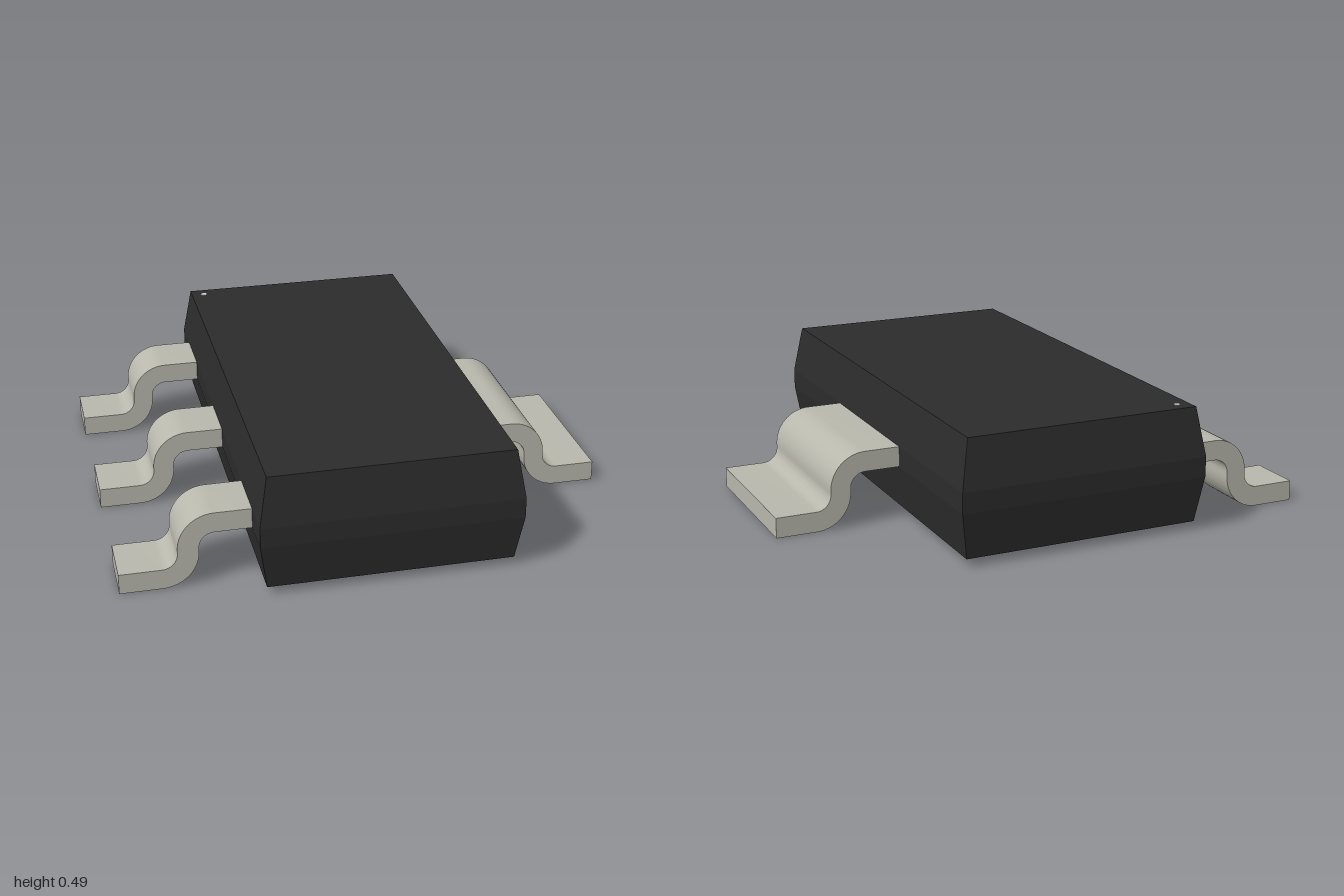
import * as THREE from 'three';
import { toCreasedNormals } from 'three/addons/utils/BufferGeometryUtils.js';

const plastic = new THREE.MeshStandardMaterial({ name: 'black plastic', color: 0x2c2c2c });
const metal = new THREE.MeshStandardMaterial({ name: 'tinned metal', color: 0xb9b8ad });
const paint = new THREE.MeshStandardMaterial({ name: 'marker paint', color: 0xd8d8d4 });

// Rectangular cross-sections [y, half width, half depth] joined into a closed solid
function loftBox(sections) {
  const points = [];
  const index = [];
  for (const [y, w, d] of sections) points.push(-w, y, d, w, y, d, w, y, -d, -w, y, -d);
  for (let s = 0; s < sections.length - 1; s++) {
    for (let i = 0; i < 4; i++) {
      const a = s * 4 + i, b = s * 4 + (i + 1) % 4;
      index.push(a, b, b + 4, a, b + 4, a + 4);
    }
  }
  const t = (sections.length - 1) * 4;
  index.push(0, 2, 1, 0, 3, 2, t, t + 1, t + 2, t, t + 2, t + 3);
  const indexed = new THREE.BufferGeometry();
  indexed.setAttribute('position', new THREE.Float32BufferAttribute(points, 3));
  indexed.setIndex(index);
  const geometry = indexed.toNonIndexed();
  geometry.computeVertexNormals();
  return geometry;
}

// Gull-wing lead: S-bent strip seen from the side, extruded to its width
function leadGeometry(width) {
  const inner = 0.06, outer = 0.14;
  const s = new THREE.Shape();
  s.moveTo(0.45, 0.215);
  s.lineTo(0.64, 0.215);
  s.absarc(0.64, 0.155, inner, Math.PI / 2, 0, true);
  s.lineTo(0.70, 0.14);
  s.absarc(0.84, 0.14, outer, Math.PI, Math.PI * 1.5, false);
  s.lineTo(1, 0);
  s.lineTo(1, 0.08);
  s.lineTo(0.84, 0.08);
  s.absarc(0.84, 0.14, inner, Math.PI * 1.5, Math.PI, true);
  s.lineTo(0.78, 0.155);
  s.absarc(0.64, 0.155, outer, 0, Math.PI / 2, false);
  s.lineTo(0.45, 0.295);
  const geometry = new THREE.ExtrudeGeometry(s, { depth: width, bevelEnabled: false, curveSegments: 12 });
  geometry.translate(0, 0, -width / 2);
  return toCreasedNormals(geometry, 0.5);
}

export function createModel() {
  const model = new THREE.Group();
  model.name = 'surfaceMountPackage';
  const add = (name, geometry, material) => {
    const mesh = new THREE.Mesh(geometry, material);
    mesh.name = name;
    model.add(mesh);
    return mesh;
  };

  // Moulded body, widest around the lead plane
  add('body', loftBox([
    [0.033, 0.473, 0.898],
    [0.215, 0.5, 0.925],
    [0.295, 0.5, 0.925],
    [0.487, 0.467, 0.895],
  ]), plastic);

  // Wide tab on one side, three narrow leads on the other
  add('tab', leadGeometry(0.66), metal);
  const narrow = leadGeometry(0.22);
  [-0.66, 0, 0.66].forEach((z, i) => {
    const lead = add('lead' + (i + 1), narrow, metal);
    lead.rotation.y = Math.PI;
    lead.position.z = z;
  });

  // Dot marking the first lead
  const dot = add('markerDot', new THREE.CylinderGeometry(0.013, 0.013, 0.004, 16), paint);
  dot.position.set(-0.415, 0.487, -0.843);
  return model;
}
